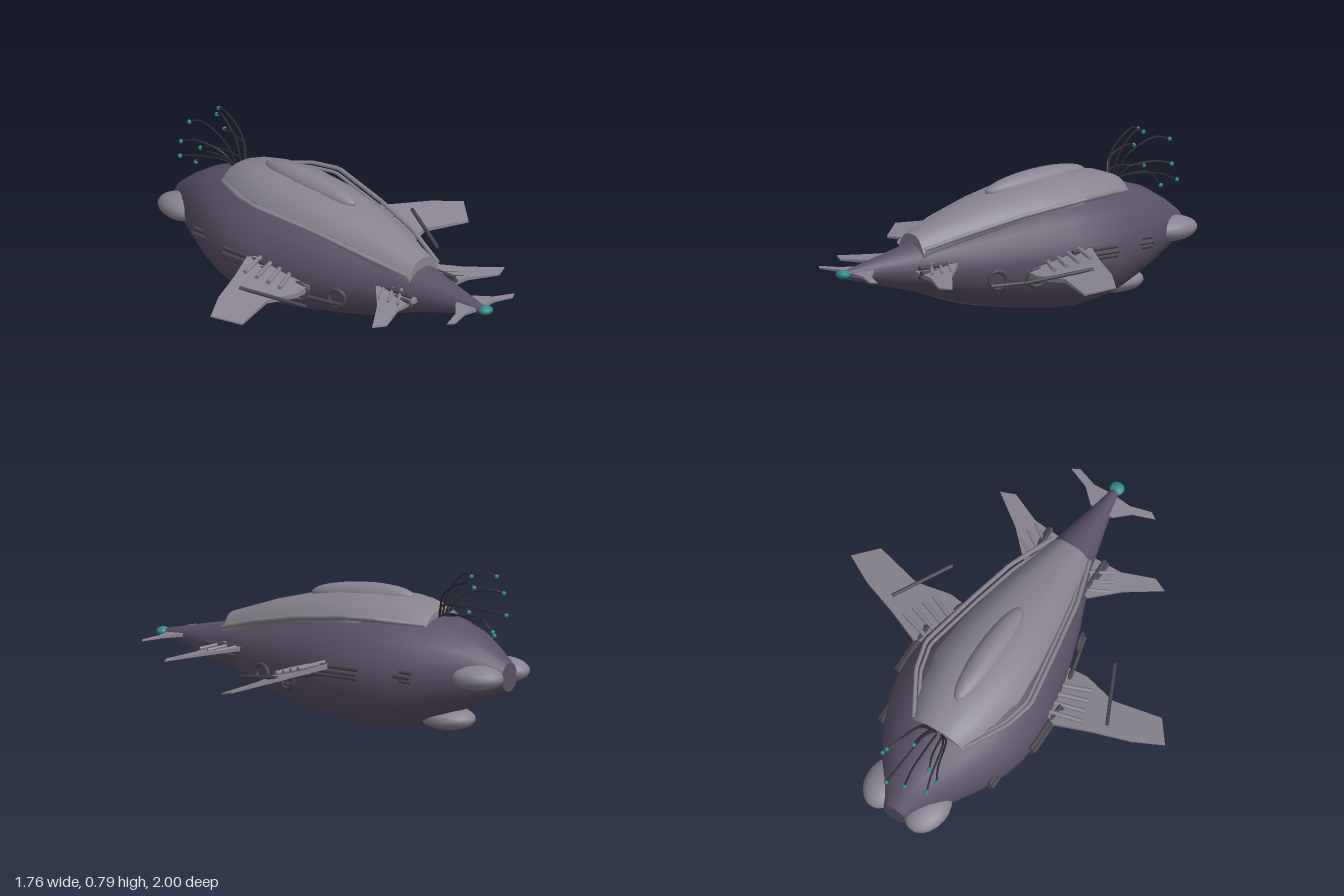
import * as THREE from 'three';

const mat = (color) => new THREE.MeshStandardMaterial({ color, side: THREE.DoubleSide });
const V = (p) => new THREE.Vector3(...p);

// Skin over closed rings of [x, y, z] points, with flat caps at both ends
function loft(rings) {
  const n = rings[0].length, pos = rings.flat(2), idx = [];
  for (let r = 0; r < rings.length - 1; r++) {
    for (let i = 0; i < n; i++) {
      const a = r * n + i, b = r * n + (i + 1) % n;
      idx.push(a, a + n, b, b, a + n, b + n);
    }
  }
  [rings[0], rings[rings.length - 1]].forEach((ring, end) => {
    const base = pos.length / 3;
    pos.push(...ring.flat());
    for (let i = 1; i < n - 1; i++) {
      if (end) idx.push(base, base + i + 1, base + i);
      else idx.push(base, base + i, base + i + 1);
    }
  });
  const g = new THREE.BufferGeometry();
  g.setAttribute('position', new THREE.Float32BufferAttribute(pos, 3));
  g.setIndex(idx);
  g.computeVertexNormals();
  return g;
}

export function createModel() {
  const root = new THREE.Group();
  const hullMat = mat(0x5a5166), plateMat = mat(0x88838f), darkMat = mat(0x49454f);
  const cableMat = mat(0x2c2a30), tealMat = mat(0x2f8a8c);

  const add = (name, geo, material, parent = root) => {
    const m = new THREE.Mesh(geo, material);
    m.name = name;
    parent.add(m);
    return m;
  };
  const ball = (name, p, r, material, w = 16, h = 10) => {
    const g = new THREE.SphereGeometry(1, w, h).rotateX(Math.PI / 2);
    const m = add(name, g, material);
    m.scale.set(...r);
    m.position.set(...p);
    return m;
  };
  const rod = (name, a, b, r, material) => {
    const path = new THREE.LineCurve3(V(a), V(b));
    const m = add(name, new THREE.CylinderGeometry(r, r, path.getLength(), 8), material);
    m.position.copy(path.getPoint(0.5));
    m.quaternion.setFromUnitVectors(new THREE.Vector3(0, 1, 0), path.getTangent(0));
  };

  // Hull: elliptical sections [z, half width, top, bottom]
  const hull = [
    [0.96, 0.018, 0.325, 0.292], [0.78, 0.06, 0.365, 0.24], [0.57, 0.115, 0.41, 0.183],
    [0.3, 0.225, 0.485, 0.09], [0.14, 0.28, 0.53, 0.055], [-0.02, 0.325, 0.57, 0.027],
    [-0.16, 0.357, 0.592, 0.01], [-0.29, 0.37, 0.6, 0.004], [-0.4, 0.36, 0.597, 0.016],
    [-0.49, 0.338, 0.588, 0.038], [-0.62, 0.285, 0.563, 0.087], [-0.77, 0.2, 0.515, 0.15],
    [-0.88, 0.125, 0.448, 0.2], [-0.97, 0.065, 0.38, 0.242],
  ];
  add('hull', loft(hull.map(([z, w, t, b]) => Array.from({ length: 20 }, (_, i) => {
    const a = (i / 20) * Math.PI * 2;
    return [w * Math.cos(a), (t + b) / 2 + (t - b) / 2 * Math.sin(a), z];
  }))), hullMat);

  // Keel strip following the belly
  const keel = new THREE.CatmullRomCurve3(hull.slice(0, 10).map(([z, , , b]) => V([0, b + 0.002, z])));
  add('keel', new THREE.TubeGeometry(keel, 30, 0.006, 6), darkMat);

  // Deck: domed plate [z, half width, edge height, top height]
  const deck = [
    [0.57, 0.1, 0.375, 0.455], [0.34, 0.15, 0.45, 0.535], [0.14, 0.19, 0.495, 0.588],
    [-0.05, 0.22, 0.52, 0.628], [-0.24, 0.235, 0.53, 0.643], [-0.42, 0.21, 0.53, 0.64],
    [-0.52, 0.18, 0.53, 0.622], [-0.595, 0.145, 0.53, 0.595],
  ];
  add('deck', loft(deck.map(([z, w, e, t]) => {
    const ring = [[w * 0.96, e - 0.05, z]];
    for (let i = 0; i <= 14; i++) {
      const u = Math.cos((i / 14) * Math.PI);
      ring.push([w * u, e + (t - e) * (1 - Math.abs(u) ** 3), z]);
    }
    ring.push([-w * 0.96, e - 0.05, z]);
    return ring;
  })), plateMat);

  // Raised canopy on the deck
  ball('canopy', [0, 0.617, -0.15], [0.068, 0.058, 0.285], plateMat, 20, 14).rotation.x = 0.08;

  // Rear pods and belly pod
  for (const s of [1, -1]) ball('rearPod', [s * 0.12, 0.318, -0.863], [0.097, 0.06, 0.135], plateMat).rotation.y = s * 0.1;
  ball('bellyPod', [0, 0.078, -0.623], [0.11, 0.056, 0.143], plateMat);
  ball('noseTip', [0, 0.31, 0.967], [0.036, 0.022, 0.033], tealMat);

  // Tapered, pitched wing from a plan outline of [x, z] points
  function wing(name, s, pts, thick, height, pitch) {
    const shape = new THREE.Shape(pts.map(([x, z]) => new THREE.Vector2(s * x, z)));
    const g = new THREE.ExtrudeGeometry(shape, { depth: 1, bevelEnabled: false }).rotateX(Math.PI / 2);
    const p = g.attributes.position;
    const tip = Math.max(...pts.map((q) => q[0]));
    for (let i = 0; i < p.count; i++) {
      const t = thick * (1.15 - Math.abs(p.getX(i)) / tip);
      p.setY(i, height + (p.getY(i) + 0.5) * t - pitch * p.getZ(i));
    }
    g.computeVertexNormals();
    add(name, g, plateMat);
  }

  // Bundle of three parallel rods lying along z
  const bundle = (s, x, y, z0, z1) => {
    for (const [dx, dy] of [[0, -0.022], [0.014, 0], [0, 0.022]]) {
      rod('sideRod', [s * (x + dx), y + dy, z0], [s * (x + dx), y + dy, z1], 0.011, darkMat);
    }
  };

  for (const s of [1, -1]) {
    // Double rail standing off the deck edge
    const railPath = [[0.105, 0.395, 0.565], [0.185, 0.465, 0.33], [0.235, 0.52, 0.08], [0.293, 0.568, -0.24],
      [0.258, 0.567, -0.38], [0.14, 0.54, -0.585]];
    for (const [dx, dy, r] of [[0, 0, 0.011], [-0.024, -0.012, 0.009]]) {
      const path = new THREE.CurvePath();
      const pts = railPath.map(([x, y, z]) => V([s * (x + dx), y + dy, z]));
      for (let i = 1; i < pts.length; i++) path.add(new THREE.LineCurve3(pts[i - 1], pts[i]));
      add('deckRail', new THREE.TubeGeometry(path, 40, r, 6), plateMat);
    }

    // Main wing, mid fin and nose fin
    wing('mainWing', s, [[0.28, -0.15], [0.39, -0.2], [0.55, -0.13], [0.74, -0.06], [0.878, 0.018],
      [0.785, 0.135], [0.55, 0.075], [0.38, 0.115], [0.26, 0.1]], 0.035, 0.283, 0.3);
    wing('midFin', s, [[0.1, 0.42], [0.18, 0.43], [0.3, 0.55], [0.46, 0.665], [0.39, 0.695],
      [0.24, 0.63], [0.08, 0.62]], 0.025, 0.38, 0.15);
    wing('noseFin', s, [[0.02, 0.82], [0.06, 0.83], [0.13, 0.895], [0.235, 0.935], [0.2, 0.957],
      [0.1, 0.925], [0.02, 0.93]], 0.016, 0.39, 0.09);

    // Ribs on the wing roots
    for (let i = 0; i < 4; i++) {
      const z = -0.14 + i * 0.055, y = 0.31 - 0.3 * z;
      rod('wingRib', [s * 0.31, y, z - 0.025], [s * (0.5 - i * 0.02), y - 0.012, z + 0.03], 0.011, plateMat);
    }
    for (let i = 0; i < 3; i++) {
      const z = 0.46 + i * 0.05;
      rod('finRib', [s * 0.12, 0.325, z - 0.02], [s * (0.25 - i * 0.01), 0.307, z + 0.055], 0.008, plateMat);
    }
    rod('wingStrut', [s * 0.6, 0.31, -0.055], [s * 0.455, 0.255, 0.24], 0.009, darkMat);

    // Rings and rod bundles along the flanks
    for (const [x, z] of [[0.255, 0.25], [0.315, 0.07]]) {
      const ring = add('sideRing', new THREE.TorusGeometry(0.042, 0.011, 8, 20), darkMat);
      ring.rotation.y = Math.PI / 2 - s * 0.3;
      ring.position.set(s * x, 0.235, z);
    }
    bundle(s, 0.37, 0.32, -0.1, -0.36);
    bundle(s, 0.3, 0.32, -0.46, -0.613);
    bundle(s, 0.15, 0.3, 0.43, 0.63);
    rod('flankPipe', [s * 0.325, 0.24, 0.1], [s * 0.355, 0.29, -0.12], 0.009, darkMat);
    rod('lowerRod', [s * 0.255, 0.21, 0.29], [s * 0.32, 0.215, 0.04], 0.009, darkMat);
  }

  // Antennae curling back from the deck's rear edge
  const tips = [[0.02, 0.775, -0.77], [-0.105, 0.76, -0.83], [0.12, 0.748, -0.85], [-0.152, 0.672, -0.84],
    [0.15, 0.635, -0.84], [-0.12, 0.575, -0.875], [0.075, 0.535, -0.925], [0, 0.5, -0.885]];
  for (const [x, y, z] of tips) {
    const curve = new THREE.CatmullRomCurve3([
      V([x * 0.2, 0.56, -0.595]), V([x * 0.5, 0.57 + (y - 0.5) * 0.45, -0.64]),
      V([x * 0.8, Math.max(y, 0.56) + 0.015, z * 0.55 - 0.32]), V([x, y, z])]);
    add('antenna', new THREE.TubeGeometry(curve, 12, 0.005, 5), cableMat);
    ball('antennaTip', [x, y, z], [0.011, 0.011, 0.011], tealMat, 8, 6);
  }
  return root;
}
